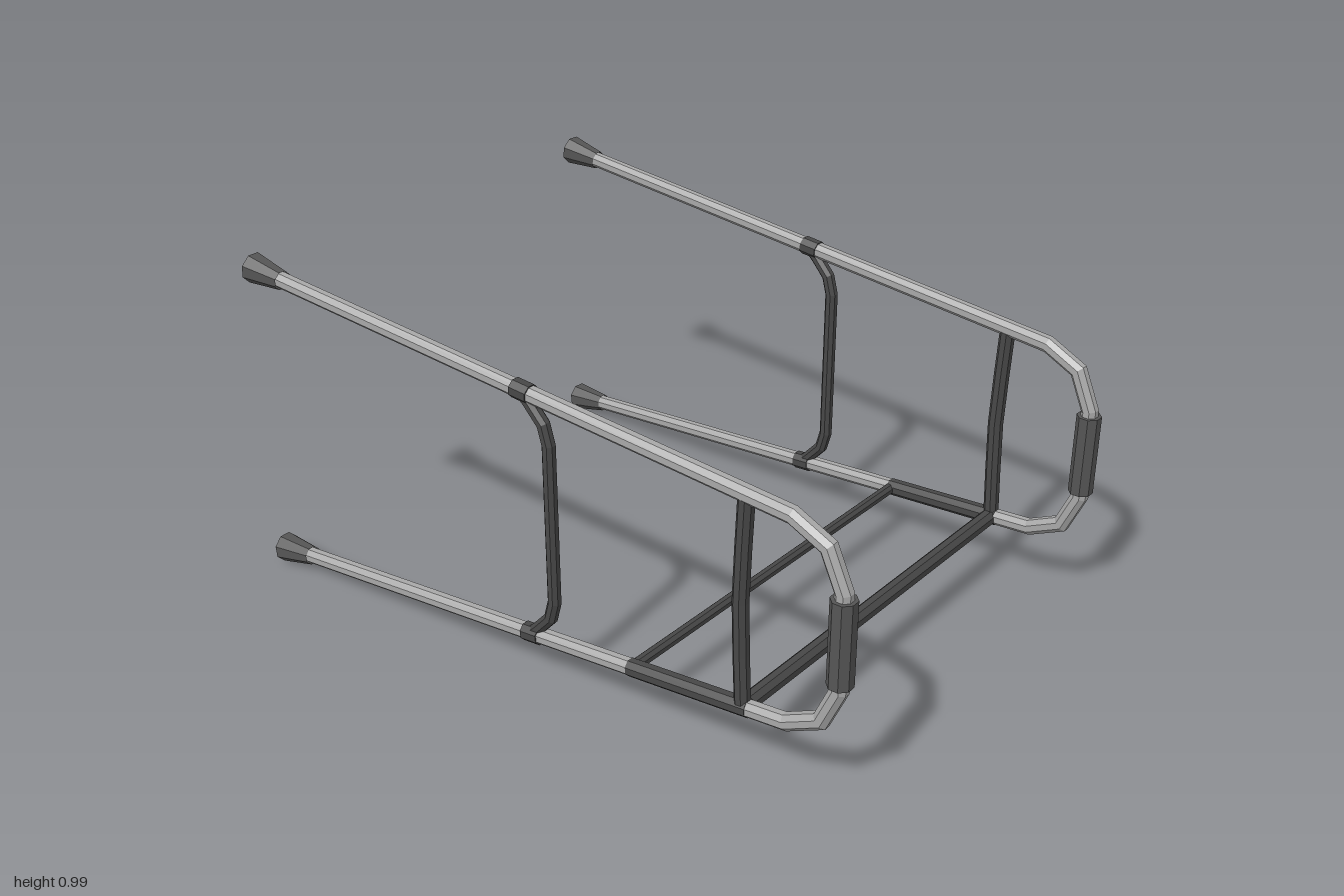
import * as THREE from 'three';

const SIDES = 8;

// Octagonal flat-faced bar swept along a path with mitred corners; n stays perpendicular to the path
function sweep(points, radii, n, capped = true) {
  const rings = points.map((p, k) => {
    const before = p.clone().sub(points[Math.max(k - 1, 0)]).normalize();
    const after = points[Math.min(k + 1, points.length - 1)].clone().sub(p).normalize();
    const t = before.clone().add(after).normalize();
    const inner = k > 0 && k < points.length - 1;
    const mitre = inner ? 1 / t.dot(after) : 1;
    const m = t.clone().cross(n).normalize();
    const r = Array.isArray(radii) ? radii[k] : radii;
    return Array.from({ length: SIDES }, (_, i) => {
      const a = ((i + 0.5) / SIDES) * Math.PI * 2;
      return p.clone().addScaledVector(n, r * Math.cos(a)).addScaledVector(m, r * mitre * Math.sin(a));
    });
  });
  const tris = [];
  for (let i = 0; i < SIDES; i++) {
    const j = (i + 1) % SIDES;
    for (let k = 0; k < rings.length - 1; k++) {
      const a = rings[k], b = rings[k + 1];
      tris.push(a[i], a[j], b[j], a[i], b[j], b[i]);
    }
    if (capped) {
      const last = rings.length - 1;
      tris.push(points[0], rings[0][j], rings[0][i]);
      tris.push(points[last], rings[last][i], rings[last][j]);
    }
  }
  const g = new THREE.BufferGeometry().setFromPoints(tris);
  g.computeVertexNormals();
  return g;
}

// Height of the straight upper and lower rails at depth z
const upperY = z => 0.865 - 0.09 * z;
const lowerY = z => 1 - upperY(z);
const sideX = z => 0.63 - 0.034 * z;

export function createModel() {
  const model = new THREE.Group();
  model.name = 'walkingFrame';
  const metal = new THREE.MeshStandardMaterial({ color: 0xa8a8a8 });
  metal.name = 'light metal';
  const dark = new THREE.MeshStandardMaterial({ color: 0x474747 });
  dark.name = 'dark metal';
  const rubber = new THREE.MeshStandardMaterial({ color: 0x555555, side: THREE.DoubleSide });
  rubber.name = 'rubber';

  const add = (parent, name, geometry, material) => {
    const mesh = new THREE.Mesh(geometry, material);
    mesh.name = name;
    parent.add(mesh);
  };

  for (const s of [1, -1]) {
    const side = new THREE.Group();
    side.name = s > 0 ? 'leftSide' : 'rightSide';
    model.add(side);
    const n = new THREE.Vector3(1, 0, 0.034 * s).normalize();
    // Every side part lies in one slightly splayed plane, given as [z, y] points
    const bar = (name, path, radii, material, capped) =>
      add(side, name, sweep(path.map(([z, y]) => new THREE.Vector3(s * sideX(z), y, z)), radii, n, capped), material);

    // Bent rail: lower leg, handle loop, upper leg
    const half = [[-0.89, upperY(-0.89)], [0.82, upperY(0.82)], [0.92, 0.742], [0.967, 0.635]];
    const mirrored = half.map(([z, y]) => [z, 1 - y]).reverse();
    bar('rail', [...half, ...mirrored], 0.024, metal);
    bar('handGrip', [[0.967, 0.62], [0.967, 0.38]], 0.0345, rubber);

    // Brace posts between the two rails
    bar('frontPost', [[0.69, upperY(0.69)], [0.683, 0.65], [0.678, 0.5], [0.683, 0.35], [0.69, lowerY(0.69)]], 0.022, dark);
    bar('bentPost', [[-0.01, 0.868], [0.02, 0.84], [0.065, 0.79], [0.08, 0.735],
      [0.08, 0.265], [0.065, 0.21], [0.02, 0.16], [-0.01, 0.132]], 0.019, dark);

    // Dark sleeve joining the crossbars
    bar('lowerSleeve', [[0.335, lowerY(0.335)], [0.71, lowerY(0.71)]], 0.0255, dark);

    for (const y of [upperY, lowerY]) {
      bar('collar', [[-0.027, y(-0.027)], [0.027, y(0.027)]], 0.0275, dark);
      // Flared hollow foot
      bar('foot', [[-0.88, y(-0.88)], [-0.997, y(-0.997)]], [0.028, 0.0445], rubber, false);
    }
  }

  // Crossbars joining the sides
  for (const [name, z, r] of [['frontCrossbar', 0.69, 0.0245], ['middleCrossbar', 0.34, 0.017]]) {
    const ends = [-1, 1].map(s => new THREE.Vector3(s * sideX(z), lowerY(z), z));
    add(model, name, sweep(ends, r, new THREE.Vector3(0, 1, 0)), dark);
  }
  return model;
}
